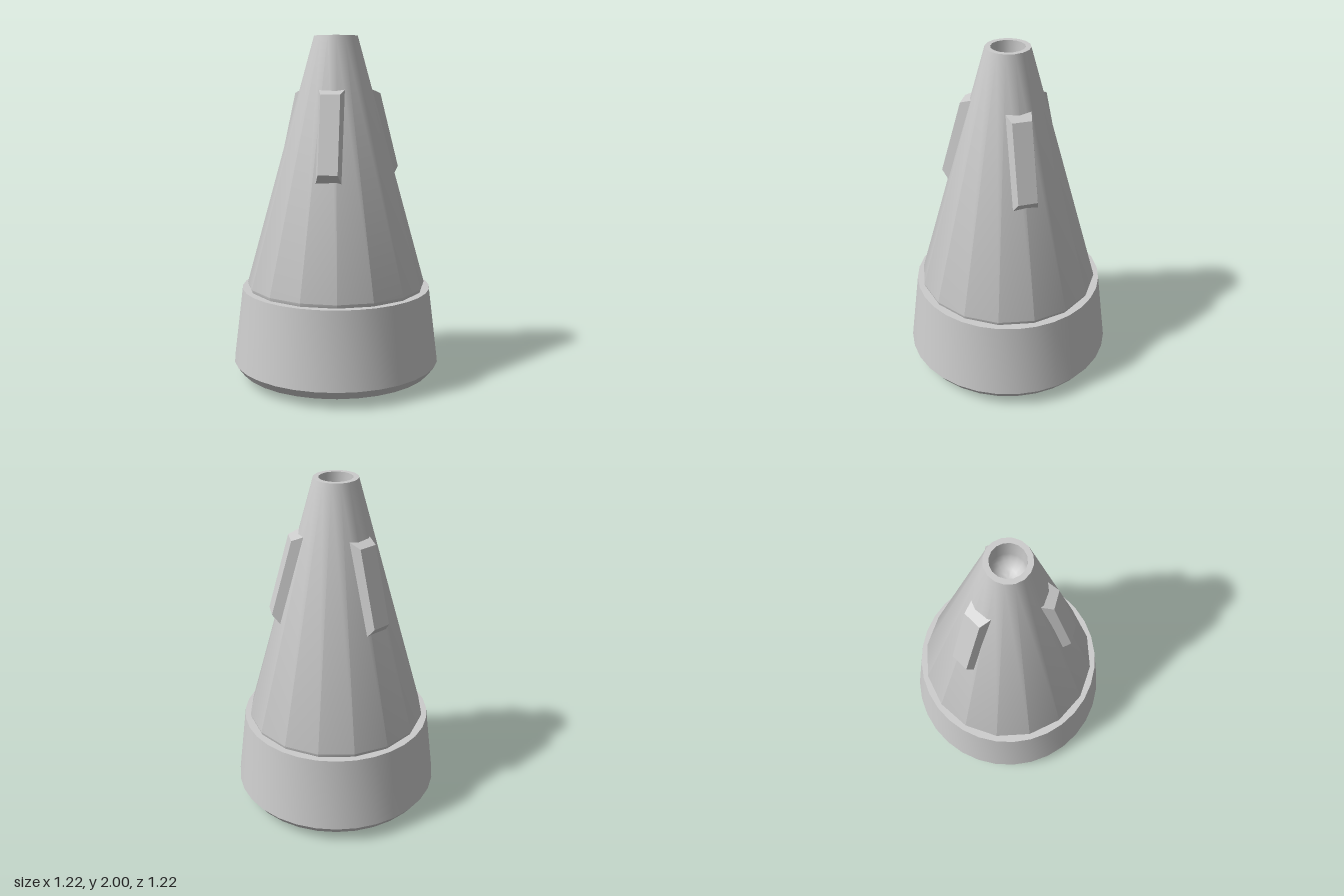
import * as THREE from 'three';
import { toCreasedNormals } from 'three/addons/utils/BufferGeometryUtils.js';

const material = new THREE.MeshStandardMaterial({ color: 0xcccccc });

function addMesh(parent, name, geometry) {
  const mesh = new THREE.Mesh(geometry, material);
  mesh.name = name;
  parent.add(mesh);
  return mesh;
}

// Turned part from [radius, height] pairs, keeping profile corners sharp
function turned(profile, sides) {
  const points = profile.map(([r, y]) => new THREE.Vector2(r, y));
  return toCreasedNormals(new THREE.LatheGeometry(points, sides), 0.6);
}

// Block whose outer (+x) face is smaller than its embedded inner face
function finGeometry() {
  const inner = { x: -0.03, length: 0.276, width: 0.077 };
  const outer = { x: 0.041, length: 0.224, width: 0.055 };
  const geometry = new THREE.BoxGeometry(2, 2, 2).toNonIndexed();
  const pos = geometry.attributes.position;
  for (let i = 0; i < pos.count; i++) {
    const end = pos.getX(i) > 0 ? outer : inner;
    pos.setXYZ(i, end.x, pos.getY(i) * end.length, pos.getZ(i) * end.width);
  }
  geometry.computeVertexNormals();
  return geometry;
}

export function createModel() {
  const model = new THREE.Group();
  model.name = 'nozzle';

  // Base collar with a bevelled lower edge, a short foot and a shallow recess
  addMesh(model, 'baseCollar', turned([
    [0, 0.035], [0.21, 0.035], [0.225, 0], [0.305, 0], [0.325, 0.05],
    [0.573, 0.05], [0.61, 0.1], [0.555, 0.54], [0, 0.54],
  ], 32));

  // Tapered body with a round-bottomed bore in its tip
  const bore = 0.095;
  const boreY = 1.88;
  const cone = [[0.515, 0.53], [0.525, 0.56], [0.125, 2], [bore, 2], [bore, boreY]];
  const steps = 6;
  for (let i = 1; i <= steps; i++) {
    const a = (i / steps) * Math.PI / 2;
    cone.push([i === steps ? 0 : bore * Math.cos(a), boreY - bore * Math.sin(a)]);
  }
  addMesh(model, 'coneBody', turned(cone, 16));

  // Three fins spaced evenly around the cone, leaning along its slope
  const fin = finGeometry();
  const slope = Math.atan2(0.4, 1.44);
  for (let i = 0; i < 3; i++) {
    const arm = new THREE.Group();
    arm.name = `finArm${i + 1}`;
    arm.rotation.y = (i * Math.PI * 2) / 3;
    const mesh = addMesh(arm, `fin${i + 1}`, fin);
    mesh.position.set(0.279, 1.447, 0);
    mesh.rotation.z = slope;
    model.add(arm);
  }

  return model;
}
